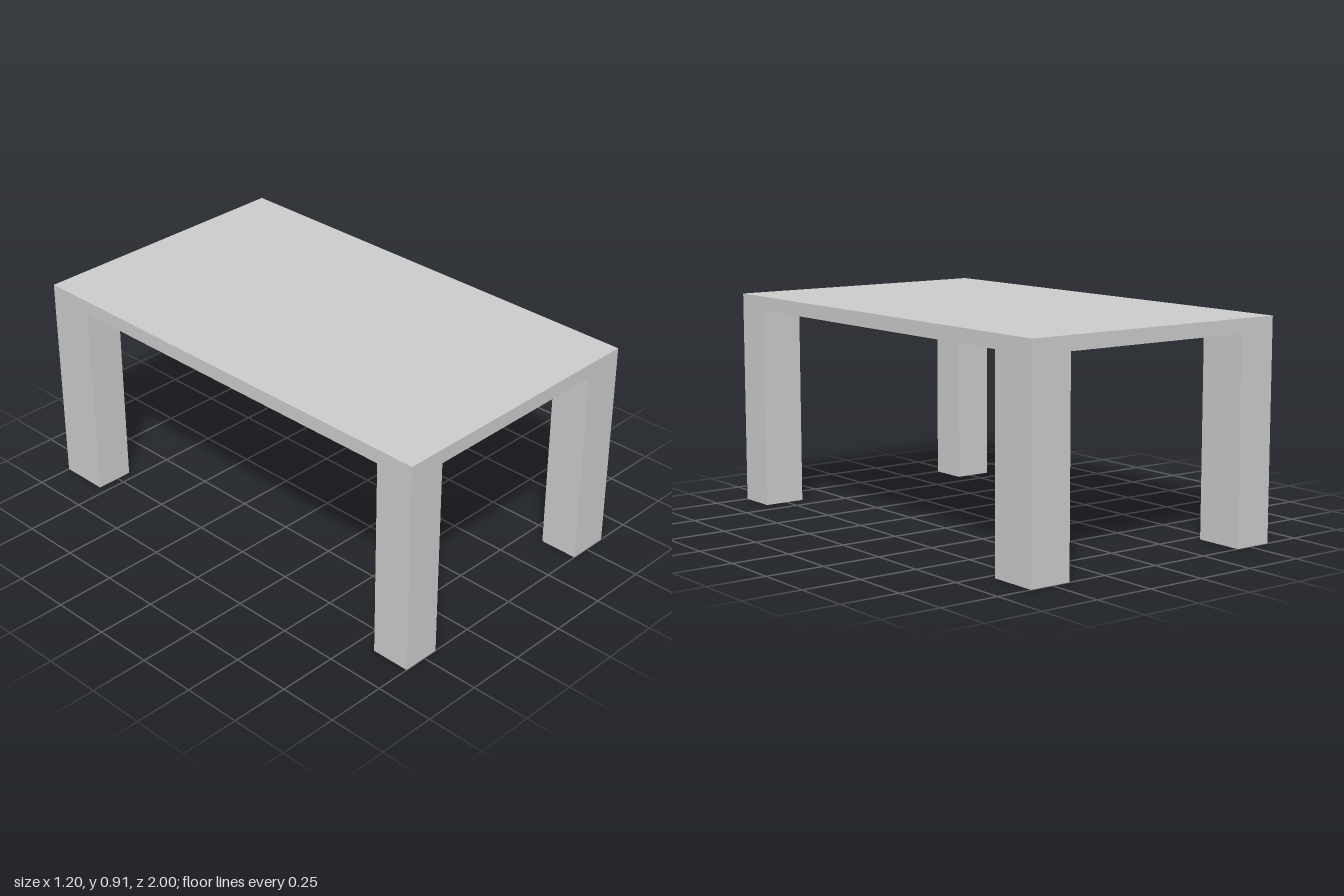
import * as THREE from 'three';

const HALF_X = 0.599, HALF_Z = 1, HEIGHT = 0.907, UNDERSIDE = 0.848;

export function createModel() {
  const table = new THREE.Group();
  table.name = 'table';
  const material = new THREE.MeshStandardMaterial({ color: 0xcccccc, flatShading: true });

  // Box given by its two opposite corners
  function addBox(name, [x0, y0, z0], [x1, y1, z1]) {
    const geometry = new THREE.BoxGeometry(x1 - x0, y1 - y0, z1 - z0);
    const mesh = new THREE.Mesh(geometry, material);
    mesh.name = name;
    mesh.position.set((x0 + x1) / 2, (y0 + y1) / 2, (z0 + z1) / 2);
    table.add(mesh);
  }

  // Flat slab top
  addBox('tableTop', [-HALF_X, UNDERSIDE, -HALF_Z], [HALF_X, HEIGHT, HALF_Z]);

  // Corner legs, flush with the top's edges; left and back legs are slightly thicker
  const columns = [
    { side: 'Left', x0: 0.42, x1: HALF_X },
    { side: 'Right', x0: -HALF_X, x1: -0.435 },
  ];
  const rows = [
    { end: 'front', z0: 0.833, z1: HALF_Z },
    { end: 'back', z0: -HALF_Z, z1: -0.788 },
  ];
  for (const { side, x0, x1 } of columns) {
    for (const { end, z0, z1 } of rows) {
      addBox(`${end}${side}Leg`, [x0, 0, z0], [x1, UNDERSIDE, z1]);
    }
  }

  return table;
}
